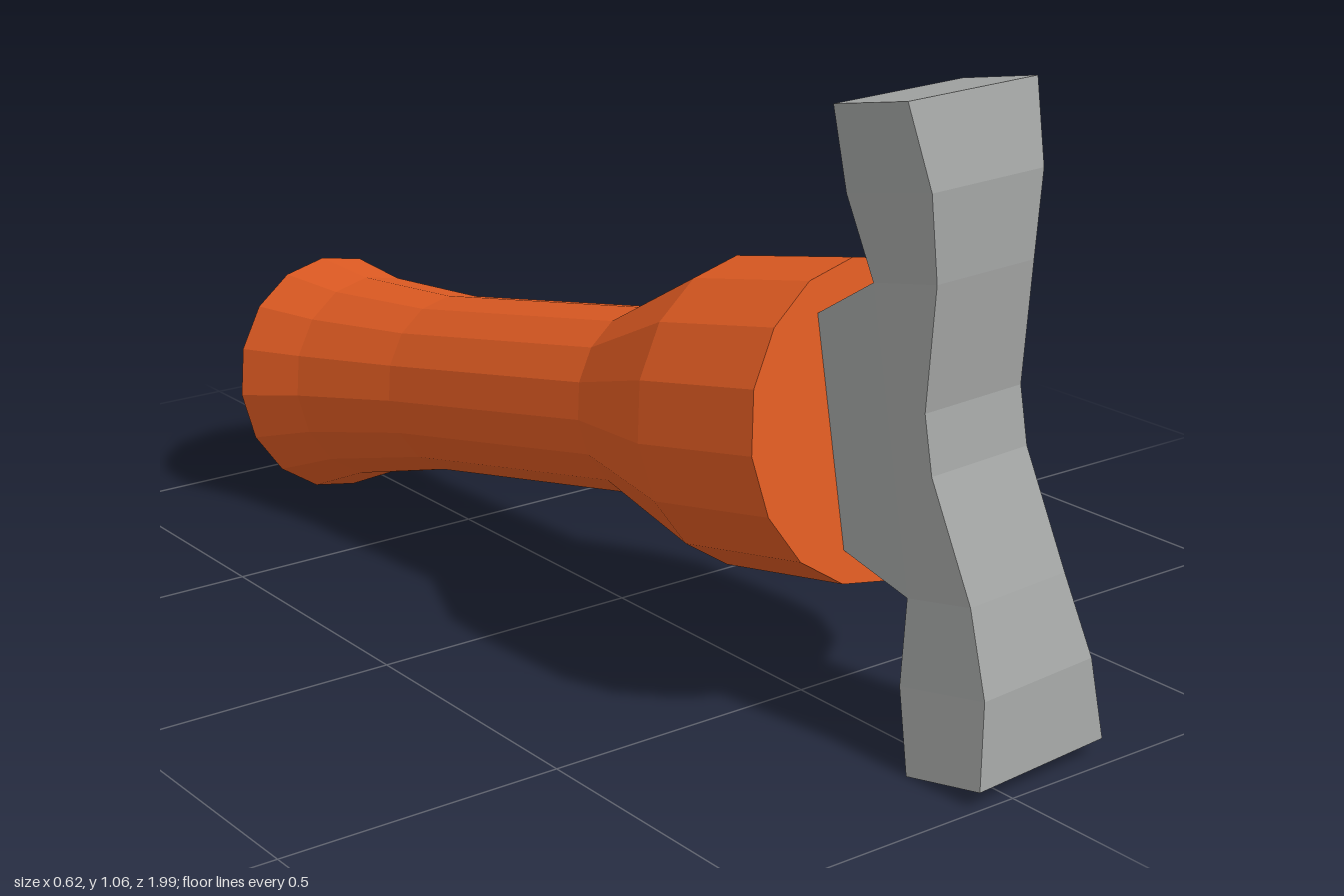
import * as THREE from 'three';

// Gives every facet its own flat normal
function faceted(geometry) {
  const flat = geometry.index ? geometry.toNonIndexed() : geometry;
  flat.computeVertexNormals();
  return flat;
}

// Closed loft through four-cornered sections, corners counter-clockwise seen from the last one
function loft(sections) {
  const pos = [];
  const quad = (a, b, c, d) => pos.push(...a, ...b, ...c, ...a, ...c, ...d);
  for (let i = 0; i < sections.length - 1; i++) {
    const s = sections[i], t = sections[i + 1];
    for (let j = 0; j < 4; j++) {
      const k = (j + 1) % 4;
      quad(s[j], s[k], t[k], t[j]);
    }
  }
  quad(...[...sections[0]].reverse());
  quad(...sections[sections.length - 1]);
  const geometry = new THREE.BufferGeometry();
  geometry.setAttribute('position', new THREE.Float32BufferAttribute(pos, 3));
  return faceted(geometry);
}

export function createModel() {
  const orange = new THREE.MeshStandardMaterial({ color: 0xdd5a22 });
  orange.name = 'orange grip';
  const grey = new THREE.MeshStandardMaterial({ color: 0xa3a5a4 });
  grey.name = 'grey metal';

  const model = new THREE.Group();
  model.name = 'tool';

  // Tilted frame: origin at the grip's front face, z along the tool's axis
  const tool = new THREE.Group();
  tool.name = 'tiltedTool';
  tool.position.set(0.045, 0.5, 0.605);
  tool.rotation.set(-0.18, 0.085, 0, 'YXZ');
  model.add(tool);

  const add = (name, geometry, material) => {
    const mesh = new THREE.Mesh(geometry, material);
    mesh.name = name;
    tool.add(mesh);
  };

  // Sixteen-sided turned grip: [radius, distance behind the front face]
  const profile = [
    [0, 0], [0.265, 0], [0.262, 0.27], [0.165, 0.535], [0.167, 1.08],
    [0.195, 1.34], [0.231, 1.48], [0.125, 1.61], [0, 1.61],
  ].map(([r, d]) => new THREE.Vector2(r, d));
  add('grip', faceted(new THREE.LatheGeometry(profile, 16).rotateX(-Math.PI / 2)), orange);

  // Flared, waisted crossbar: [height, half width, front, back], mirrored top to bottom
  const upper = [
    [0.049, 0.11, 0.226, 0.147], [0.248, 0.11, 0.278, 0.147],
    [0.388, 0.126, 0.302, 0.126], [0.527, 0.145, 0.291, 0.138],
  ];
  const lower = upper.map(([y, ...rest]) => [-y, ...rest]).reverse();
  add('crossbar', loft([...lower, ...upper].map(([y, h, f, b]) =>
    [[h, y, f], [h, y, b], [-h, y, b], [-h, y, f]])), grey);

  // Tapered neck between crossbar and grip: [z, half width, half height]
  add('neck', loft([[-0.01, 0.09, 0.188], [0.147, 0.11, 0.248]].map(([z, h, k]) =>
    [[-h, -k, z], [h, -k, z], [h, k, z], [-h, k, z]])), grey);

  return model;
}
